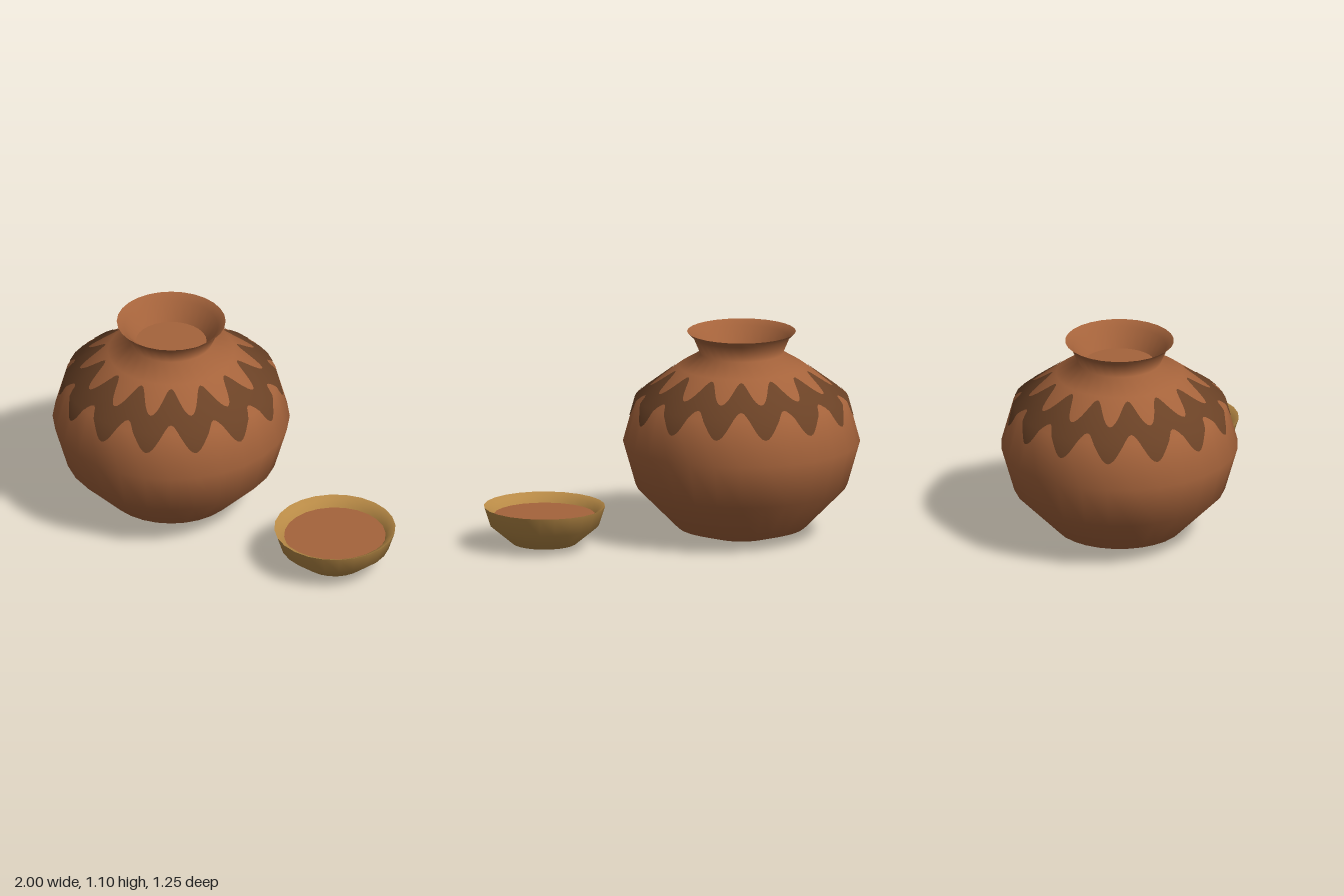
import * as THREE from 'three';

const terracotta = new THREE.MeshStandardMaterial({ color: 0xa5633b });
const darkBrown = new THREE.MeshStandardMaterial({ color: 0x6b4226 });
const ochre = new THREE.MeshStandardMaterial({ color: 0xb88a46 });
terracotta.name = 'terracotta';
darkBrown.name = 'darkBrown';
ochre.name = 'ochre';

const POT_SIDES = 28;
const BOWL_SIDES = 24;

// Outer wall of the pot as [radius, height], from foot to lip
const potProfile = [
  [0.171, 0], [0.339, 0.05], [0.558, 0.273], [0.625, 0.508], [0.56, 0.745],
  [0.334, 0.915], [0.219, 0.983], [0.256, 1.07], [0.287, 1.1],
];

function lathe(name, profile, sides, material) {
  const points = profile.map(([r, y]) => new THREE.Vector2(r, y));
  const mesh = new THREE.Mesh(new THREE.LatheGeometry(points, sides), material);
  mesh.name = name;
  return mesh;
}

// Radius and smooth outward normal of the pot wall at a given height
function wallAt(y) {
  const normalAt = (i) => {
    const n = new THREE.Vector2();
    for (const k of [i - 1, i]) {
      const [r0, y0] = potProfile[k];
      const [r1, y1] = potProfile[k + 1];
      n.add(new THREE.Vector2(y1 - y0, r0 - r1).normalize());
    }
    return n.normalize();
  };
  let i = 1;
  while (potProfile[i + 1][1] < y) i++;
  const [r0, y0] = potProfile[i];
  const [r1, y1] = potProfile[i + 1];
  const t = (y - y0) / (y1 - y0);
  return { r: r0 + (r1 - r0) * t, n: normalAt(i).lerp(normalAt(i + 1), t).normalize() };
}

// Wavy painted band: a thin skin lying on the faceted shoulder of the pot
function paintedBand() {
  const waves = 14, columns = POT_SIDES * 8, rows = 7, lift = 0.003;
  const shoulder = 0.745;
  const step = (Math.PI * 2) / POT_SIDES;
  const position = [], normal = [], index = [];
  for (let c = 0; c <= columns; c++) {
    const phi = (c / columns) * Math.PI * 2;
    const wave = Math.cos(waves * phi);
    const low = 0.71 + 0.068 * wave;
    const high = 0.853 + 0.047 * wave;
    const bend = Math.max(low, shoulder);
    // Flat sides: the wall sits on the chord between two corners
    const chord = Math.cos(step / 2) / Math.cos((phi % step) - step / 2);
    for (let k = 0; k < rows; k++) {
      const y = k < 3 ? low + (bend - low) * (k / 3) : bend + (high - bend) * ((k - 3) / 3);
      const { r, n } = wallAt(y);
      const radius = r * chord + n.x * lift;
      position.push(radius * Math.sin(phi), y + n.y * lift, radius * Math.cos(phi));
      normal.push(n.x * Math.sin(phi), n.y, n.x * Math.cos(phi));
      if (c < columns && k < rows - 1) {
        const a = c * rows + k, b = a + rows;
        index.push(a, b, a + 1, b, b + 1, a + 1);
      }
    }
  }
  const geometry = new THREE.BufferGeometry();
  geometry.setAttribute('position', new THREE.Float32BufferAttribute(position, 3));
  geometry.setAttribute('normal', new THREE.Float32BufferAttribute(normal, 3));
  geometry.setIndex(index);
  const mesh = new THREE.Mesh(geometry, darkBrown);
  mesh.name = 'paintedBand';
  return mesh;
}

export function createModel() {
  const model = new THREE.Group();
  model.name = 'potAndBowl';

  // Round pot with a flared neck
  const pot = new THREE.Group();
  pot.name = 'pot';
  pot.position.x = -0.375;
  pot.add(
    lathe('potWall', potProfile, POT_SIDES, terracotta),
    lathe('potBase', [[0, 0], [0.171, 0]], POT_SIDES, terracotta),
    lathe('potNeckInside', [[0.287, 1.1], [0.247, 1.07], [0.187, 0.975]], POT_SIDES, terracotta),
    lathe('potContents', [[0.187, 0.975], [0, 0.975]], POT_SIDES, terracotta),
    paintedBand(),
  );

  // Small bowl, nearly full
  const bowl = new THREE.Group();
  bowl.name = 'bowl';
  bowl.position.set(0.68, 0, 0.2);
  bowl.add(
    lathe('bowlWall', [[0, 0], [0.171, 0.022], [0.288, 0.12], [0.32, 0.22]], BOWL_SIDES, ochre),
    lathe('bowlInside', [[0.32, 0.22], [0.29, 0.205], [0.268, 0.172]], BOWL_SIDES, ochre),
    lathe('bowlContents', [[0.268, 0.172], [0, 0.172]], BOWL_SIDES, terracotta),
  );

  model.add(pot, bowl);
  return model;
}
